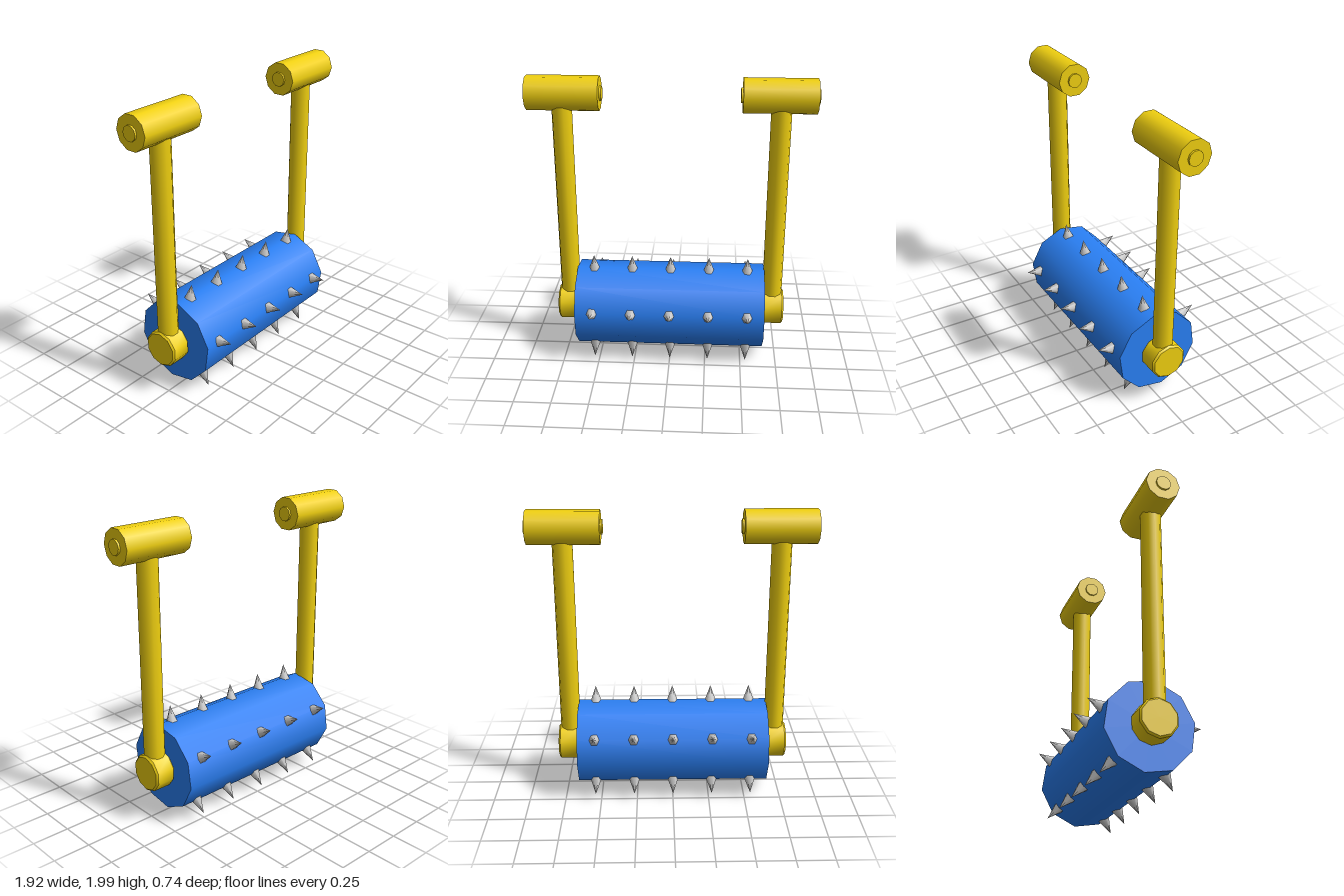
import * as THREE from 'three';
import { toCreasedNormals } from 'three/addons/utils/BufferGeometryUtils.js';

const SIDES = 10;
const AXIS_Y = 0.355, AXIS_Z = -0.017; // drum axle
const BAR_Y = 1.889, BAR_Z = -0.02;    // handle height
const PHASE = THREE.MathUtils.degToRad(10); // drum turn

export function createModel() {
  const model = new THREE.Group();
  model.name = 'spikedRoller';
  const yellow = new THREE.MeshStandardMaterial({ color: 0xf0d010 });
  const blue = new THREE.MeshStandardMaterial({ color: 0x2a80f5 });
  const grey = new THREE.MeshStandardMaterial({ color: 0xcccccc });

  const add = (parent, name, geometry, material, x, y, z) => {
    const mesh = new THREE.Mesh(geometry, material);
    mesh.name = name;
    mesh.position.set(x, y, z);
    parent.add(mesh);
    return mesh;
  };

  // Faceted cylinder lying along x, its first corner at angle `turn` from +z
  const roller = (radius, length, turn) =>
    new THREE.CylinderGeometry(radius, radius, length, SIDES, 1, false, -turn).rotateZ(-Math.PI / 2);

  // Drum
  add(model, 'drum', roller(0.295, 1.31, PHASE), blue, 0, AXIS_Y, AXIS_Z);

  // Five rows of spikes on every second drum corner
  const spikes = new THREE.Group();
  spikes.name = 'spikes';
  model.add(spikes);
  const spikeGeometry = new THREE.ConeGeometry(0.042, 0.118, 6, 1, false, Math.PI / 6 + Math.PI / 3);
  for (let row = 0; row < 5; row++) {
    const angle = PHASE + row * Math.PI * 2 / 5;
    for (let i = -2; i <= 2; i++) {
      const spike = add(spikes, 'spike', spikeGeometry, grey, i * 0.268,
        AXIS_Y + Math.sin(angle) * 0.335, AXIS_Z + Math.cos(angle) * 0.335);
      spike.rotation.x = Math.PI / 2 - angle;
    }
  }

  // Hub with a small bevel around both ends
  const hubProfile = [[0, 0], [0.115, 0], [0.127, 0.012], [0.127, 0.134], [0.115, 0.146], [0, 0.146]]
    .map(([r, h]) => new THREE.Vector2(r, h));
  const hubGeometry = toCreasedNormals(
    new THREE.LatheGeometry(hubProfile, SIDES, Math.PI / 2).rotateZ(-Math.PI / 2), 0.75);

  // Arm on each side: hub, post, handle and its end pin
  const postGeometry = new THREE.CylinderGeometry(0.068, 0.068, 1.41, SIDES, 1, false, Math.PI / 2);
  const handleGeometry = roller(0.115, 0.48, 0);
  const pinGeometry = roller(0.05, 0.507, 0);
  for (const side of [1, -1]) {
    const arm = new THREE.Group();
    arm.name = side > 0 ? 'leftArm' : 'rightArm';
    model.add(arm);
    const hub = add(arm, 'hub', hubGeometry, yellow, side * 0.65, AXIS_Y, AXIS_Z);
    if (side < 0) hub.rotation.y = Math.PI;
    add(arm, 'post', postGeometry, yellow, side * 0.717, 1.125, -0.014);
    add(arm, 'handle', handleGeometry, yellow, side * 0.705, BAR_Y, BAR_Z);
    add(arm, 'handlePin', pinGeometry, yellow, side * 0.705, BAR_Y, BAR_Z);
  }
  return model;
}
